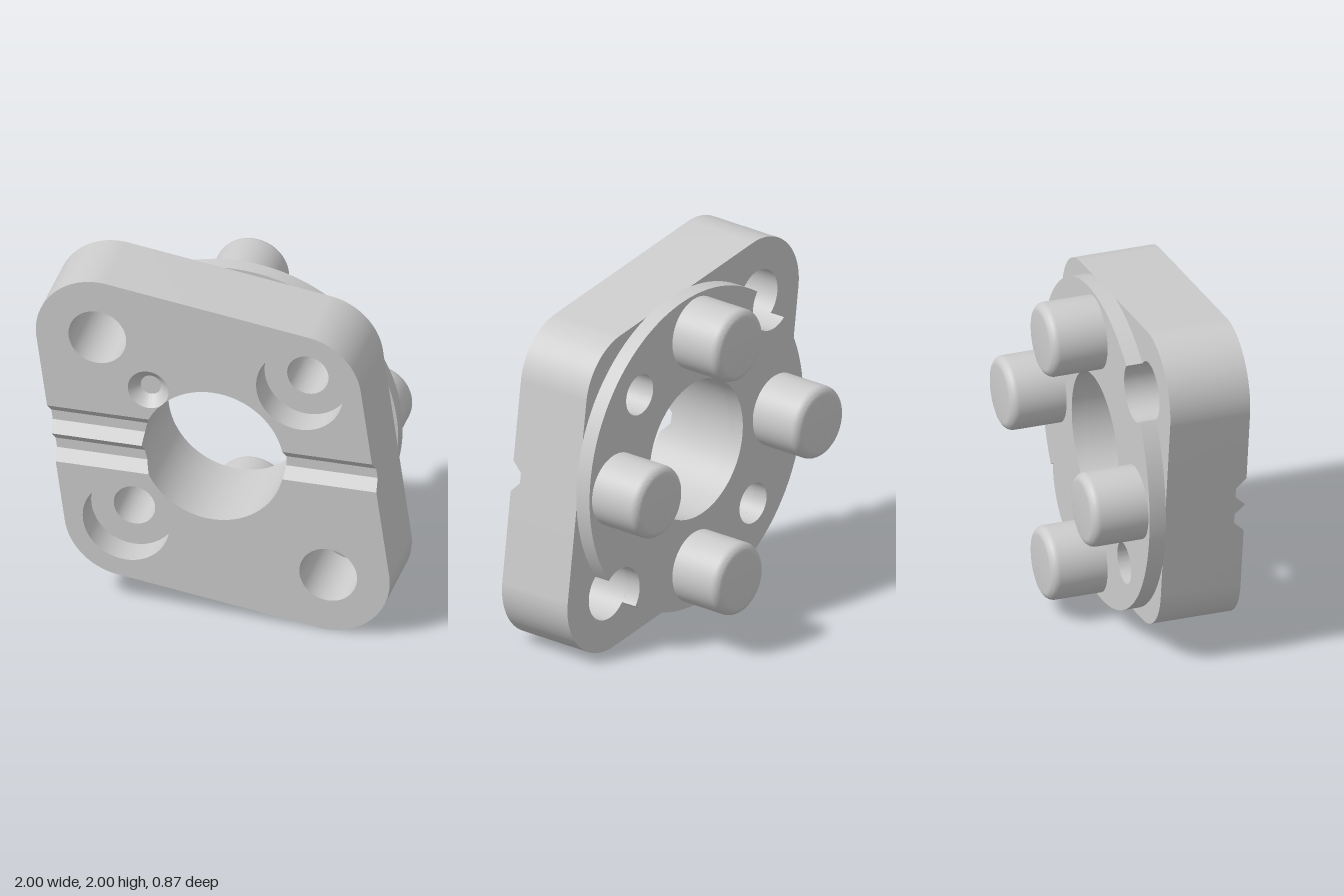
import * as THREE from 'three';
import { toCreasedNormals } from 'three/addons/utils/BufferGeometryUtils.js';

const BACK = -0.025, FRONT = 0.435, DISC_BACK = -0.118;
const BORE = 0.402, BAND = 0.174; // bore radius, half height of the grooved band
const SCREW = 0.117, COUNTERBORE = 0.245, BOLT = 0.163, DISC = 0.923;
const BOLT_POS = DISC * Math.SQRT1_2; // bolt holes are centred on the disc rim
const TILT = Math.atan2(0.16, 1.14); // slant of the plate edges

const material = new THREE.MeshStandardMaterial({ color: 0xcccccc });

function addMesh(parent, name, geometry, x = 0, y = 0) {
  const mesh = new THREE.Mesh(toCreasedNormals(geometry, 0.5), material);
  mesh.name = name;
  mesh.position.set(x, y, 0);
  parent.add(mesh);
  return mesh;
}

function circle(x, y, r) {
  return new THREE.Path().absarc(x, y, r, 0, Math.PI * 2, false);
}

function extrude(shape, z0, z1) {
  return new THREE.ExtrudeGeometry(shape, { depth: z1 - z0, bevelEnabled: false, curveSegments: 40 })
    .translate(0, 0, z0);
}

// Lathe turned so its axis points along +z (dir 1) or -z (dir -1)
function lathe(points, dir) {
  return new THREE.LatheGeometry(points.map(([r, h]) => new THREE.Vector2(r, h)), 64)
    .rotateX(dir * Math.PI / 2);
}

// Slanted right edge of the plate and wall of the bore at height y
const edgeX = (y) => 0.49 + 0.35 * Math.cos(TILT) + Math.tan(TILT) * (0.49 + 0.35 * Math.sin(TILT) - y);
const boreX = (y) => Math.sqrt(BORE * BORE - y * y);

// Plate half above the grooved band
function plateHalf(withPinHole) {
  const s = new THREE.Shape();
  const a = Math.asin(BAND / BORE);
  s.absarc(0, 0, BORE, Math.PI - a, a, true);
  s.lineTo(edgeX(BAND), BAND);
  s.absarc(0.49, 0.49, 0.35, TILT, Math.PI / 2 - TILT, false);
  s.absarc(-0.65, 0.65, 0.35, Math.PI / 2 - TILT, Math.PI + TILT, false);
  s.lineTo(-edgeX(-BAND), BAND);
  s.closePath();
  s.holes.push(circle(-BOLT_POS, BOLT_POS, BOLT), circle(0.49, 0.49, COUNTERBORE));
  if (withPinHole) s.holes.push(circle(-0.365, 0.363, 0.115));
  return extrude(s, BACK, FRONT);
}

// Band beside the bore: rows of four corners lofted upward along a [y, z] front profile
function grooveBand(profile) {
  const rows = [];
  profile.forEach(([y, z], i) => {
    const [y2, z2] = profile[i + 1] ?? [y, z];
    const steps = i < profile.length - 1 ? 4 : 1;
    for (let k = 0; k < steps; k++) {
      const t = k / steps;
      rows.push([y + (y2 - y) * t, z + (z2 - z) * t]);
    }
  });
  const pos = [], index = [];
  rows.forEach(([y, z], j) => {
    const xi = boreX(y), xo = edgeX(y);
    pos.push(xi, y, BACK, xi, y, z, xo, y, z, xo, y, BACK);
    if (j === rows.length - 1) return;
    for (let k = 0; k < 4; k++) {
      const a = j * 4 + k, b = j * 4 + (k + 1) % 4;
      index.push(a, b, b + 4, a, b + 4, a + 4);
    }
  });
  const g = new THREE.BufferGeometry();
  g.setAttribute('position', new THREE.Float32BufferAttribute(pos, 3));
  g.setIndex(index);
  return g;
}

// Rear disc, its rim notched by the two bolt holes
function rearDisc() {
  const s = new THREE.Shape();
  const d = 2 * Math.asin(BOLT / (2 * DISC));
  for (const phi of [Math.PI * 0.75, Math.PI * 1.75]) {
    s.absarc(0, 0, DISC, phi - Math.PI + d, phi - d, false);
    s.absarc(DISC * Math.cos(phi), DISC * Math.sin(phi), BOLT,
      phi - d / 2 - Math.PI / 2, phi + d / 2 + Math.PI / 2, true);
  }
  s.closePath();
  s.holes.push(circle(0, 0, BORE), circle(0.49, 0.49, SCREW), circle(-0.49, -0.49, SCREW));
  return extrude(s, DISC_BACK, BACK);
}

export function createModel() {
  const model = new THREE.Group();
  model.name = 'flangePlate';
  const body = new THREE.Group();
  body.name = 'body';
  body.position.y = 1; // everything is laid out around the bore axis
  model.add(body);

  // Plate halves
  addMesh(body, 'upperPlate', plateHalf(true));
  addMesh(body, 'lowerPlate', plateHalf(false)).rotation.z = Math.PI;

  // Grooved bands: one groove on the left, two on the right
  const low = FRONT - 0.058;
  addMesh(body, 'singleGrooveBand', grooveBand([
    [-BAND, FRONT], [-0.087, FRONT], [-0.029, low], [0.029, low], [0.087, FRONT], [BAND, FRONT],
  ]));
  addMesh(body, 'doubleGrooveBand', grooveBand([
    [-BAND, FRONT], [-0.116, low], [-0.058, low], [0, FRONT], [0.058, low], [0.116, low], [BAND, FRONT],
  ])).rotation.z = Math.PI;

  // Counterbore floors with screw holes
  for (const s of [1, -1]) {
    addMesh(body, 'screwSeat', lathe([
      [COUNTERBORE, BACK], [COUNTERBORE, 0.26], [SCREW, 0.26], [SCREW, BACK], [COUNTERBORE, BACK],
    ], 1), 0.49 * s, 0.49 * s);
  }

  // Blind countersunk pin hole, closed behind
  addMesh(body, 'countersink', lathe([
    [0, BACK], [0.115, BACK], [0.115, FRONT], [0.057, low], [0, low],
  ], 1), -0.365, 0.363);

  addMesh(body, 'rearDisc', rearDisc());

  // Four round pegs with rounded tips
  const peg = [[0.207, -DISC_BACK]];
  for (let i = 0; i <= 8; i++) {
    const a = (i / 8) * Math.PI / 2;
    peg.push([0.157 + 0.05 * Math.cos(a), 0.385 + 0.05 * Math.sin(a)]);
  }
  peg.push([0, 0.435]);
  for (let i = 0; i < 4; i++) {
    const a = i * Math.PI / 2;
    addMesh(body, 'peg', lathe(peg, -1), 0.695 * Math.cos(a), 0.695 * Math.sin(a));
  }
  return model;
}
